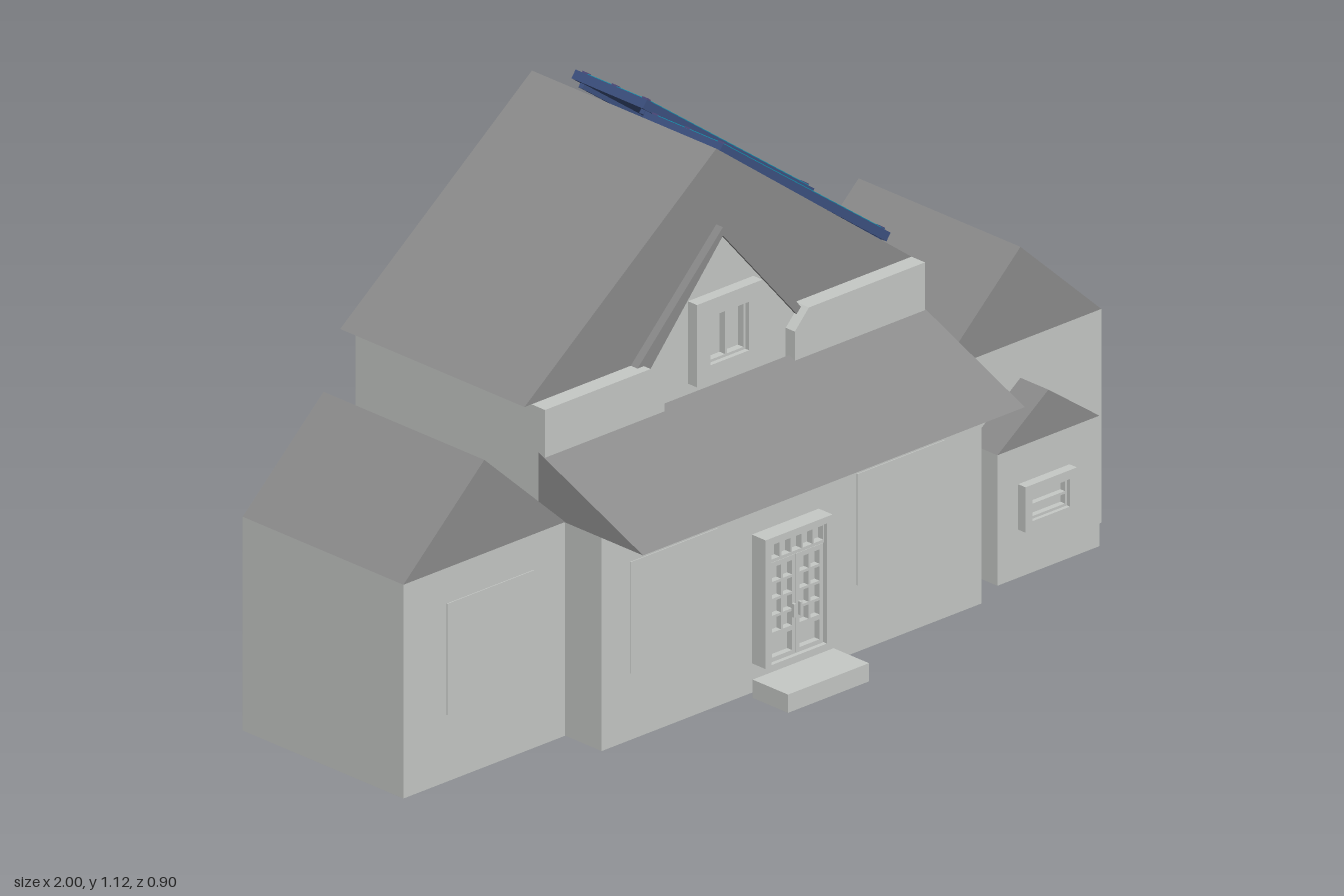
import * as THREE from 'three';

const mat = (name, color) => {
  const m = new THREE.MeshStandardMaterial({ color });
  m.name = name;
  return m;
};

export function createModel() {
  const house = new THREE.Group();
  house.name = 'house';
  const wall = mat('wall grey', 0xc6c9c6);
  const roof = mat('roof grey', 0x8c8c8c);
  const glass = mat('solar teal', 0x0f98b2);
  const frame = mat('solar frame navy', 0x3c5080);
  const clip = mat('solar clip purple', 0x4e4a7c);

  const add = (name, geo, m, parent = house) => {
    const mesh = new THREE.Mesh(geo, m);
    mesh.name = name;
    parent.add(mesh);
    return mesh;
  };
  // box from its lower and upper limits
  const box = (name, m, x0, x1, y0, y1, z0, z1, parent) =>
    add(name, new THREE.BoxGeometry(x1 - x0, y1 - y0, z1 - z0)
      .translate((x0 + x1) / 2, (y0 + y1) / 2, (z0 + z1) / 2), m, parent);
  // outline in x and y, carried from z0 to z1
  const prism = (name, m, pts, z0, z1, holes = []) => {
    const shape = new THREE.Shape(pts.map(p => new THREE.Vector2(...p)));
    holes.forEach(h => shape.holes.push(new THREE.Path(h.map(p => new THREE.Vector2(...p)))));
    return add(name, new THREE.ExtrudeGeometry(shape, { depth: z1 - z0, bevelEnabled: false })
      .translate(0, 0, z0), m);
  };
  const rect = (x0, x1, y0, y1) => [[x0, y0], [x1, y0], [x1, y1], [x0, y1]];

  // main block and upper storey
  box('mainBody', wall, -0.54, 0.54, 0, 0.48, -0.45, 0.325);
  box('upperBody', wall, -0.54, 0.54, 0.48, 0.712, -0.405, 0.125);
  prism('mainRoof', roof, [[-0.56, 0.712], [0.54, 0.712], [-0.015, 1.125]], -0.43, 0.117);

  // cross gable, seen at the front and the back
  prism('backGable', wall, [[-0.42, 0.48], [0.39, 0.48], [-0.015, 0.936]], -0.45, -0.4);
  prism('frontGable', wall, [[-0.24, 0.48], [0.21, 0.48], [0.21, 0.68], [-0.015, 0.936], [-0.24, 0.68]], 0.1, 0.13);
  prism('gableRoof', roof, [[-0.315, 0.655], [-0.26, 0.655], [-0.015, 0.936], [0.23, 0.655],
    [0.255, 0.655], [-0.015, 0.955]], -0.45, 0.137);
  prism('shoulderWall', wall, [[-0.54, 0.48], [-0.2, 0.48], [-0.2, 0.67], [-0.24, 0.712], [-0.54, 0.712]], 0.11, 0.157);
  prism('shoulderWall', wall, [[0.54, 0.48], [0.54, 0.712], [0.21, 0.712], [0.17, 0.67], [0.17, 0.48]], 0.11, 0.157);

  // lean-to roof over the front
  const lean = new THREE.Shape([[-0.45, 0.48], [-0.14, 0.48], [-0.14, 0.612]].map(p => new THREE.Vector2(...p)));
  add('porchRoof', new THREE.ExtrudeGeometry(lean, { depth: 1.085, bevelEnabled: false })
    .rotateY(Math.PI / 2).translate(-0.542, 0, 0), roof);

  // side wings
  for (const [name, x0, x1, z0, z1] of [['rightWing', -1, -0.54, -0.26, 0.217], ['leftWing', 0.54, 1, -0.28, 0.2]]) {
    box(name, wall, x0, x1, 0, 0.48, z0, z1);
    prism(name + 'Roof', roof, [[x0, 0.48], [x1, 0.48], [(x0 + x1) / 2, 0.69]], z0, z1);
  }

  // small annex
  box('annex', wall, 0.625, 0.915, 0, 0.293, 0.19, 0.283);
  prism('annexRoof', roof, [[0.625, 0.293], [0.915, 0.293], [0.77, 0.396]], 0.19, 0.283);

  // framed windows with a sash inside
  const framedWindow = (name, x0, x1, y0, y1, z, depth, border, upright) => {
    prism(name + 'Frame', wall, rect(x0, x1, y0, y1), z, z + depth,
      [rect(x0 + border, x1 - border, y0 + border, y1 - border)]);
    const a = x0 + border, b = x1 - border, c = y0 + border, d = y1 - border;
    const mx = (a + b) / 2, my = (c + d) / 2, t = 0.006;
    const panes = upright
      ? [rect(a + t, mx - t / 2, c + t, d - t), rect(mx + t / 2, b - t, c + t, d - t)]
      : [rect(a + t, b - t, c + t, my - t / 2), rect(a + t, b - t, my + t / 2, d - t)];
    prism(name + 'Sash', wall, rect(a, b, c, d), z, z + depth * 0.6, panes);
  };
  framedWindow('gableWindow', -0.108, 0.078, 0.63, 0.815, 0.13, 0.027, 0.038, true);
  framedWindow('annexWindow', 0.684, 0.83, 0.108, 0.21, 0.283, 0.022, 0.02, false);

  // flat window plates
  for (const [x0, z] of [[-0.46, 0.325], [0.185, 0.325], [-0.877, 0.217]])
    box('windowPlate', wall, x0, x0 + 0.248, 0.15, 0.4, z - 0.002, z + 0.002);

  // front door: frame, transom, two panelled leaves, handles
  box('doorBack', wall, -0.113, 0.077, 0.066, 0.355, 0.32, 0.342);
  prism('doorFrame', wall, rect(-0.113, 0.077, 0.066, 0.355), 0.342, 0.366, [rect(-0.097, 0.061, 0.07, 0.34)]);
  const transom = [];
  for (let i = 0; i < 5; i++) transom.push(rect(-0.092 + i * 0.031, -0.066 + i * 0.031, 0.302, 0.334));
  prism('doorTransom', wall, rect(-0.097, 0.061, 0.295, 0.34), 0.342, 0.358, transom);
  for (const x of [-0.095, -0.017]) {
    const panes = [rect(x + 0.01, x + 0.066, 0.08, 0.125)];
    for (let r = 0; r < 4; r++) for (let c = 0; c < 2; c++)
      panes.push(rect(x + 0.01 + c * 0.031, x + 0.035 + c * 0.031, 0.136 + r * 0.038, 0.168 + r * 0.038));
    prism('doorLeaf', wall, rect(x, x + 0.076, 0.07, 0.293), 0.342, 0.356, panes);
  }
  for (const x of [-0.027, -0.009]) box('doorHandle', wall, x - 0.003, x + 0.003, 0.155, 0.185, 0.356, 0.364);
  box('doorStep', wall, -0.13, 0.1, 0, 0.041, 0.345, 0.45);

  // solar panels: local x runs down the slope, y is the panel normal
  const solarPanel = (x, y, z0, z1) => {
    const g = new THREE.Group();
    g.name = 'solarPanel';
    const L = 0.588, w = z1 - z0, h = w / 2;
    box('panelFrame', frame, 0, L, -0.02, 0, -h, h, g);
    box('panelGlass', glass, 0.011, L - 0.011, -0.004, 0.002, -h + 0.009, h - 0.009, g);
    // small clips along the middle and in the corners
    for (let i = 1; i < 6; i++) box('panelClip', clip, i * L / 6 - 0.008, i * L / 6 + 0.008, 0, 0.003, -0.002, 0.002, g);
    for (const cx of [0.011, L - 0.022]) for (const cz of [-h + 0.009, -0.01, h - 0.025])
      box('panelClip', clip, cx, cx + 0.011, 0, 0.004, cz, cz + 0.016, g);
    // mounting rails down to the roof
    for (const s of [-1, 1]) box('panelRail', frame, 0.02, L - 0.004, -0.03, -0.02, s * h * 0.85 - 0.006, s * h * 0.85 + 0.006, g);
    g.position.set(x, y, (z0 + z1) / 2);
    g.rotation.z = -Math.atan2(0.345, 0.475);
    house.add(g);
  };
  solarPanel(0.045, 1.104, -0.155, 0.075);
  solarPanel(0.066, 1.117, -0.385, -0.173);

  return house;
}
